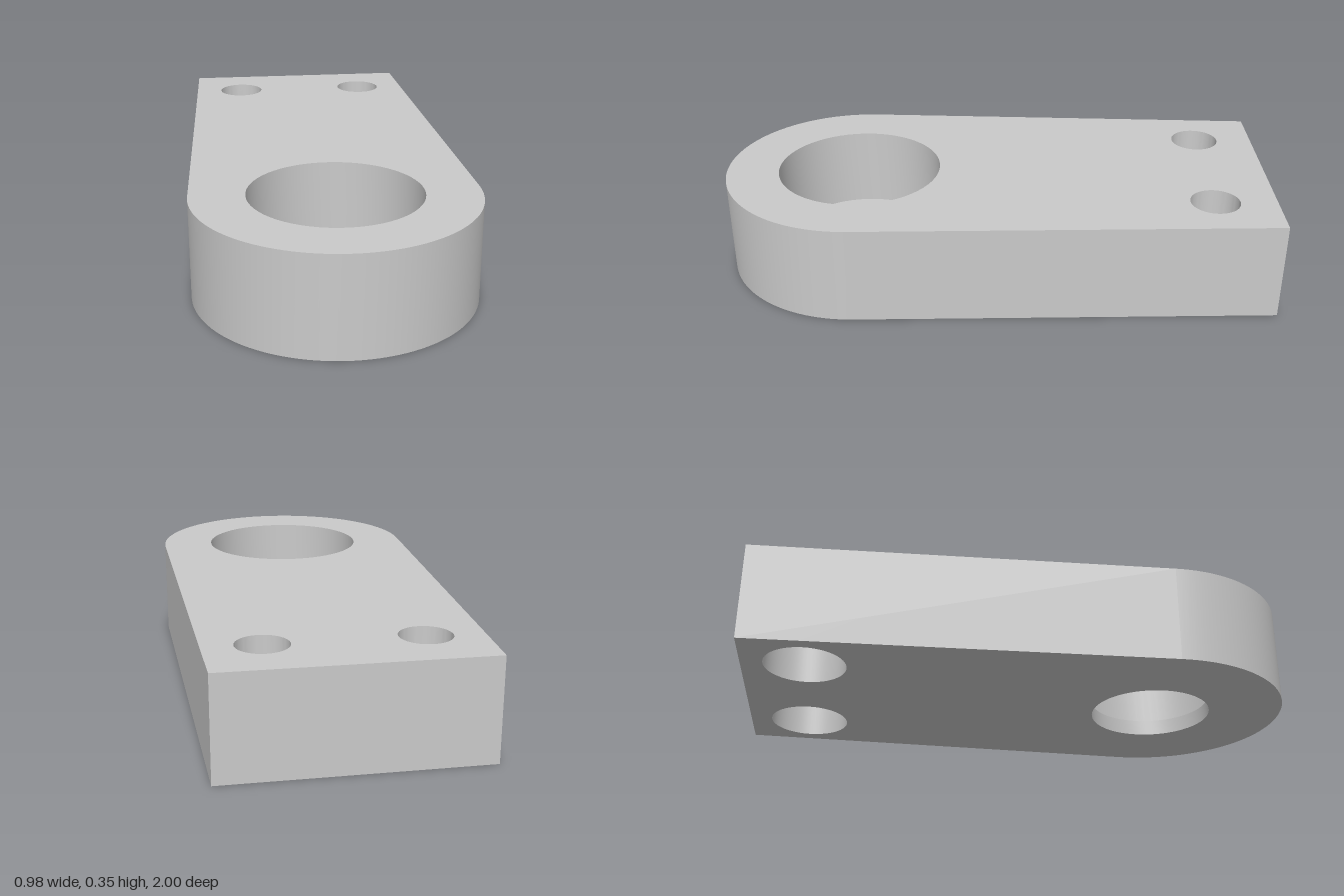
import * as THREE from 'three';
import { toCreasedNormals } from 'three/addons/utils/BufferGeometryUtils.js';

const H = 0.354;                               // plate thickness
const R = 0.491, CZ = 0.509;                   // rounded front end
const BACK = 0.442, TILT = 0.032;              // half width at the back, side taper
const BORE = { x: 0, z: 0.508, top: 0.3, bottom: 0.222, step: 0.058 };
const BOLTS = [-1, 1].map((s) => ({ x: s * 0.258, z: -0.78, top: 0.088, bottom: 0.143, step: 0.19 }));
const HOLES = [BORE, ...BOLTS];
const SEG = 64;

// Plan outline as [x, z]: right side, round the front, back along the left
function outline() {
  const pts = [];
  for (let i = 0; i <= SEG; i++) {
    const a = -TILT + (Math.PI + 2 * TILT) * (i / SEG);
    pts.push([R * Math.cos(a), CZ + R * Math.sin(a)]);
  }
  pts.push([-BACK, -1], [BACK, -1]);
  return pts;
}

// Flat face with holes at height y; side 1 faces up, side -1 faces down
function face(side, key, y) {
  const shape = new THREE.Shape(outline().map(([x, z]) => new THREE.Vector2(x, -side * z)));
  for (const h of HOLES) {
    const pts = [];
    for (let i = 0; i < SEG; i++) {
      const a = (i / SEG) * Math.PI * 2;
      pts.push(new THREE.Vector2(h.x + h[key] * Math.sin(a), -side * (h.z + h[key] * Math.cos(a))));
    }
    shape.holes.push(new THREE.Path(pts));
  }
  return new THREE.ShapeGeometry(shape).rotateX(-side * Math.PI / 2).translate(0, y, 0);
}

// Outer wall following the outline
function wall() {
  const pts = outline(), v = [];
  pts.forEach(([x, z], i) => {
    const [x2, z2] = pts[(i + 1) % pts.length];
    v.push(x, 0, z, x, H, z, x2, 0, z2, x2, 0, z2, x, H, z, x2, H, z2);
  });
  const g = new THREE.BufferGeometry();
  g.setAttribute('position', new THREE.Float32BufferAttribute(v, 3));
  return toCreasedNormals(g, 0.5);
}

// Stepped hole lining, facing inwards
function lining(h) {
  const profile = [[h.top, H], [h.top, h.step], [h.bottom, h.step], [h.bottom, 0]];
  const g = new THREE.LatheGeometry(profile.map(([r, y]) => new THREE.Vector2(r, y)), SEG);
  return toCreasedNormals(g, 0.5).translate(h.x, 0, h.z);
}

export function createModel() {
  const metal = new THREE.MeshStandardMaterial({ color: 0xcacaca });
  metal.name = 'grey metal';
  const group = new THREE.Group();
  group.name = 'mountingPlate';
  const add = (name, geometry) => {
    const mesh = new THREE.Mesh(geometry, metal);
    mesh.name = name;
    group.add(mesh);
  };
  add('topFace', face(1, 'top', H));
  add('bottomFace', face(-1, 'bottom', 0));
  add('outerWall', wall());
  add('mainBore', lining(BORE));
  add('rightBoltHole', lining(BOLTS[0]));
  add('leftBoltHole', lining(BOLTS[1]));
  return group;
}
